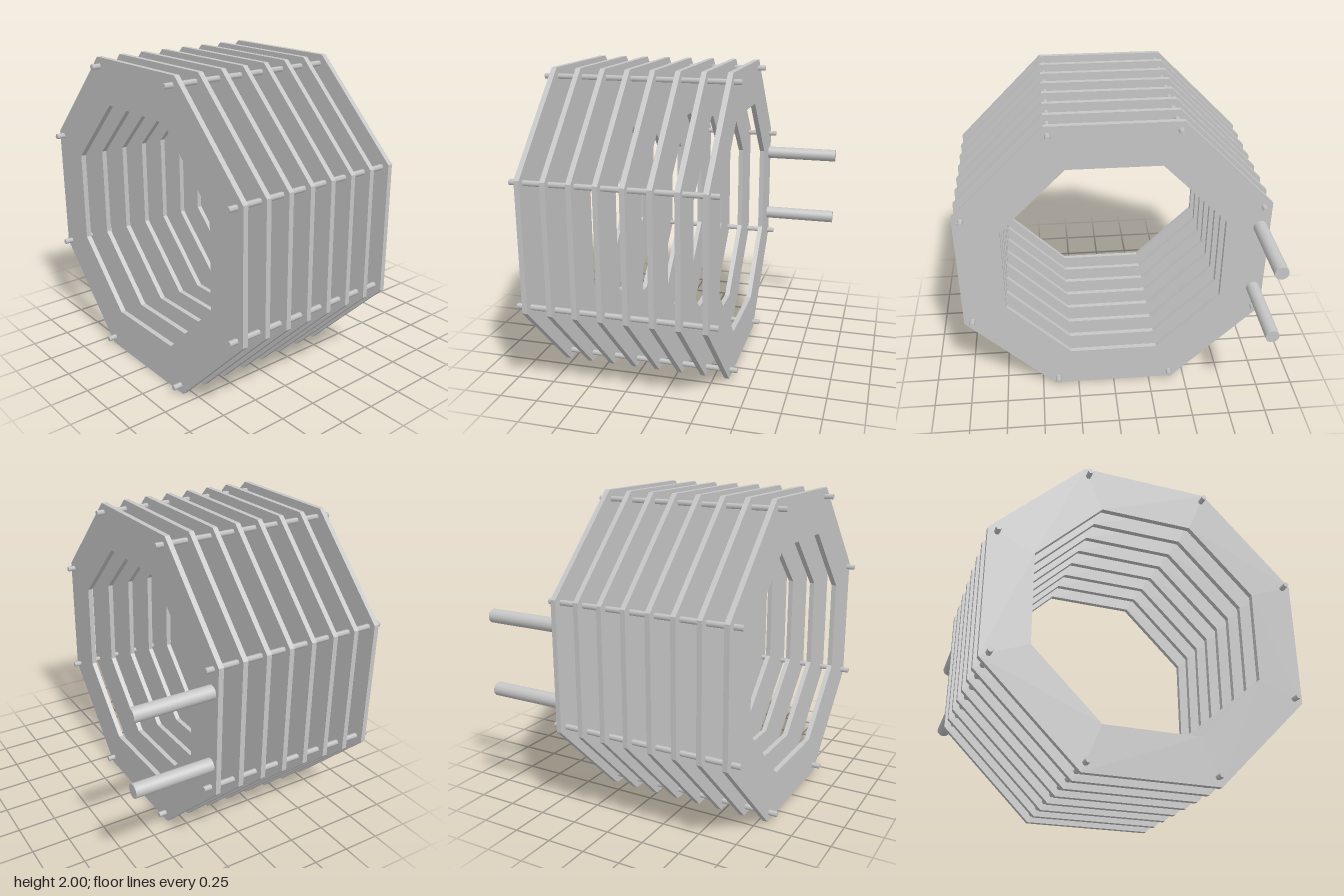
import * as THREE from 'three';

const grey = new THREE.MeshStandardMaterial({ color: 0xc6c6c6 });
grey.name = 'lightGrey';

// Corners of a regular octagon with flat top, by half width
function octagon(half) {
  const r = half / Math.cos(Math.PI / 8);
  return Array.from({ length: 8 }, (_, i) => {
    const a = (i + 0.5) * Math.PI / 4;
    return new THREE.Vector2(r * Math.cos(a), r * Math.sin(a));
  });
}

export function createModel() {
  const model = new THREE.Group();
  model.name = 'octagonalCoilFrame';
  const add = (geometry, name, x, y, z) => {
    const mesh = new THREE.Mesh(geometry, grey);
    mesh.name = name;
    mesh.position.set(x, y, z);
    model.add(mesh);
  };

  // Eight evenly spaced octagonal plates
  const thickness = 0.033;
  const shape = new THREE.Shape(octagon(1));
  shape.holes.push(new THREE.Path(octagon(0.714).reverse()));
  const plate = new THREE.ExtrudeGeometry(shape, { depth: thickness, bevelEnabled: false });
  plate.translate(0, 0, -thickness / 2);
  for (let i = 0; i < 8; i++) add(plate, 'ringPlate' + (i + 1), 0, 1, -0.335 + i * 0.1607);

  // Thin hexagonal tie rods through the corners
  const rod = new THREE.CylinderGeometry(0.018, 0.018, 1.264, 6);
  rod.rotateY(Math.PI / 6).rotateX(Math.PI / 2);
  octagon(0.944).forEach((p, i) => add(rod, 'tieRod' + (i + 1), p.x, 1 + p.y, 0.23));

  // Two round terminals behind the rear plate
  const terminal = new THREE.CylinderGeometry(0.044, 0.044, 0.515, 24);
  terminal.rotateX(Math.PI / 2);
  add(terminal, 'upperTerminal', -0.935, 1.243, -0.6025);
  add(terminal, 'lowerTerminal', -0.935, 0.76, -0.6025);

  return model;
}
